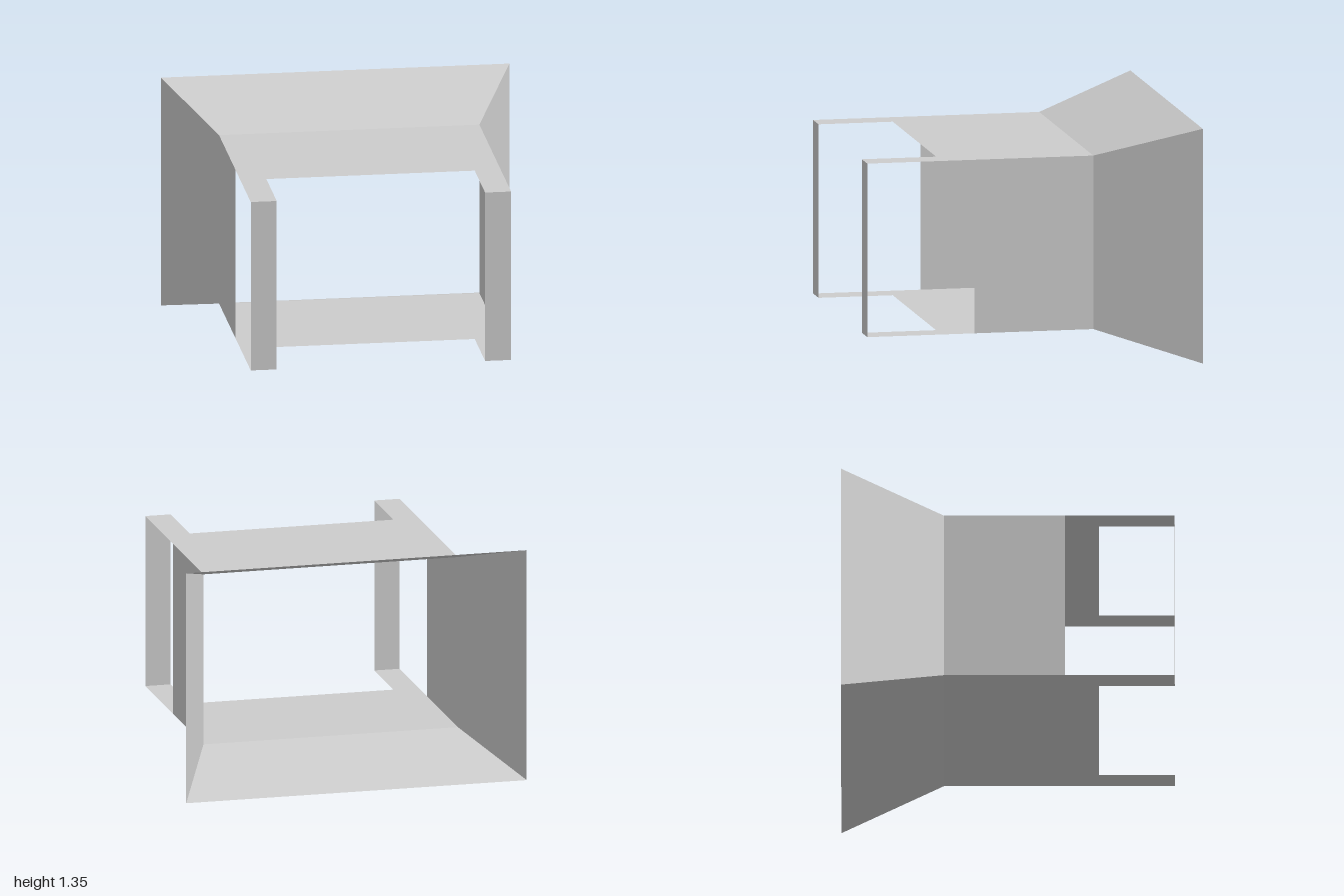
import * as THREE from 'three';

const W = 0.747, INNER = 0.598;          // half width of the body, inner edge of the front posts
const LOW = 0.177, HIGH = 1.178, TOP = 1.354;
const FRONT = 0.948, SHELF = 0.517, WALL = 0.325, BEND = -0.365, BACK = -0.948;

export function createModel() {
  const model = new THREE.Group();
  const material = new THREE.MeshStandardMaterial({
    color: 0xcccccc, flatShading: true, side: THREE.DoubleSide,
  });

  const add = (name, geometry) => {
    const mesh = new THREE.Mesh(geometry, material);
    mesh.name = name;
    model.add(mesh);
    return mesh;
  };

  // Flat sheet from four corners in order round its edge
  const quad = (a, b, c, d) => {
    const g = new THREE.BufferGeometry();
    g.setAttribute('position', new THREE.Float32BufferAttribute([a, b, c, a, c, d].flat(), 3));
    g.computeVertexNormals();
    return g;
  };

  // Floor and roof: one sheet each, with two arms reaching to the front
  const outline = new THREE.Shape([
    [-W, BEND], [W, BEND], [W, FRONT], [INNER, FRONT],
    [INNER, SHELF], [-INNER, SHELF], [-INNER, FRONT], [-W, FRONT],
  ].map(([x, z]) => new THREE.Vector2(x, -z)));
  for (const [name, y] of [['floorPanel', LOW], ['roofPanel', HIGH]]) {
    const panel = new THREE.ShapeGeometry(outline).rotateX(-Math.PI / 2);
    add(name, panel).position.y = y;
  }

  // Side walls and front posts, mirrored
  for (const [side, s] of [['left', 1], ['right', -1]]) {
    add(`${side}Wall`, quad(
      [s * W, LOW, WALL], [s * W, LOW, BEND], [s * W, HIGH, BEND], [s * W, HIGH, WALL]));
    add(`${side}FrontPost`, quad(
      [s * INNER, LOW, FRONT], [s * W, LOW, FRONT], [s * W, HIGH, FRONT], [s * INNER, HIGH, FRONT]));
  }

  // Flared hood: four sheets widening to the back
  const near = [[-W, LOW, BEND], [W, LOW, BEND], [W, HIGH, BEND], [-W, HIGH, BEND]];
  const far = [[-1, 0, BACK], [1, 0, BACK], [1, TOP, BACK], [-1, TOP, BACK]];
  ['flareBottom', 'flareLeft', 'flareTop', 'flareRight'].forEach((name, i) => {
    const j = (i + 1) % 4;
    add(name, quad(near[i], far[i], far[j], near[j]));
  });

  return model;
}
